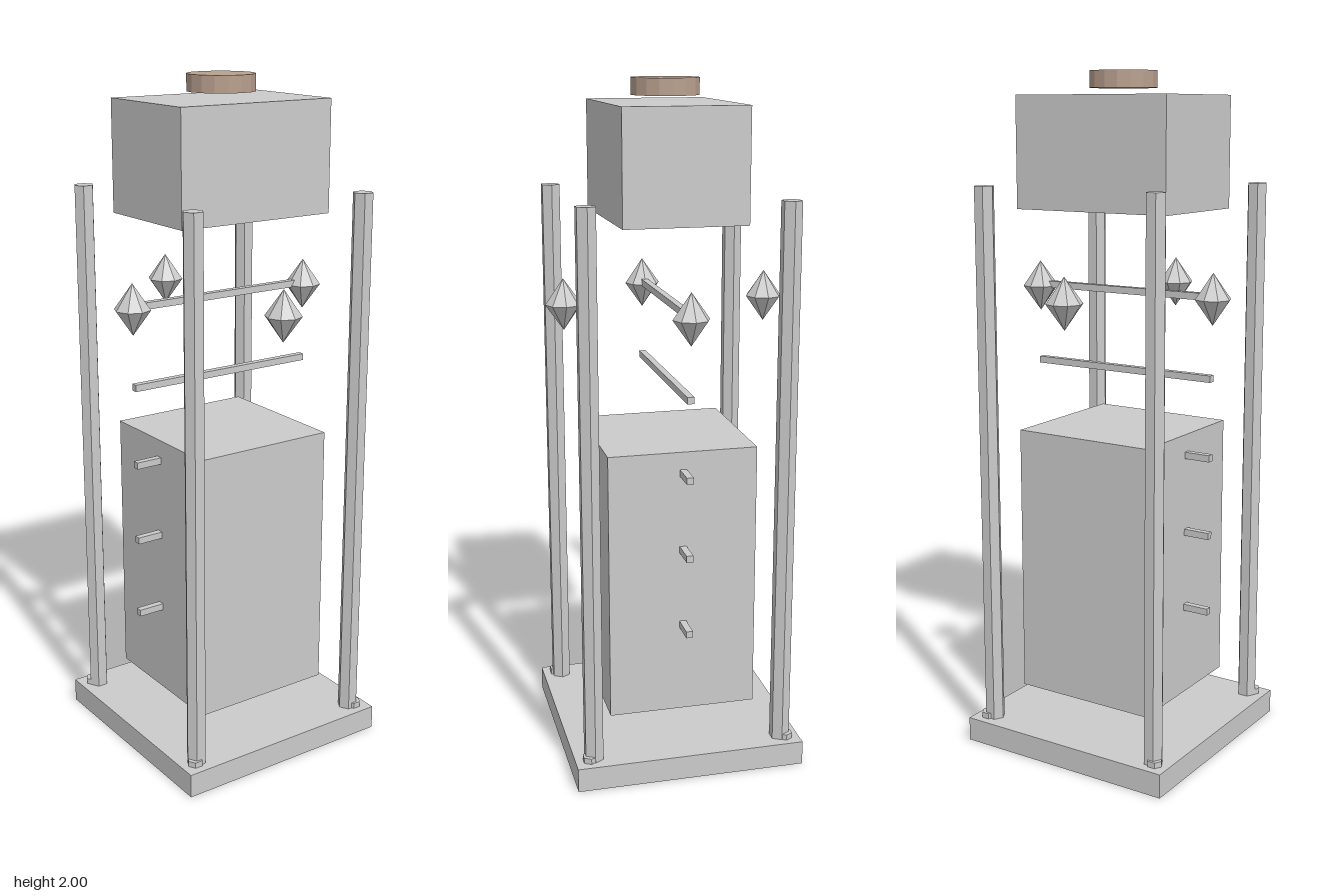
import * as THREE from 'three';

export function createModel() {
  const model = new THREE.Group();
  const grey = new THREE.MeshStandardMaterial({ color: 0xcccccc, flatShading: true });
  const brown = new THREE.MeshStandardMaterial({ color: 0xb8a08e, flatShading: true });

  const add = (name, geometry, x, y, z, material = grey) => {
    const mesh = new THREE.Mesh(geometry, material);
    mesh.name = name;
    mesh.position.set(x, y, z);
    model.add(mesh);
    return mesh;
  };

  // Boxes are given by their bottom and top heights
  const addBlock = (name, width, depth, bottom, top) =>
    add(name, new THREE.BoxGeometry(width, top - bottom, depth), 0, (bottom + top) / 2, 0);

  addBlock('base', 0.683, 0.683, 0, 0.072);
  addBlock('towerBody', 0.44, 0.44, 0.167, 0.97);
  addBlock('upperHousing', 0.5, 0.356, 1.612, 1.933);

  // Round cap above the housing
  add('cap', new THREE.CylinderGeometry(0.098, 0.098, 0.048, 16), 0, 1.976, 0, brown);

  // Hexagonal posts, each with a bolt at its foot
  const post = new THREE.CylinderGeometry(0.03, 0.03, 1.61, 6).rotateY(Math.PI / 2);
  const bolt = new THREE.CylinderGeometry(0.023, 0.023, 0.02, 6).rotateY(Math.PI / 2);
  for (const sx of [-1, 1]) {
    for (const sz of [-1, 1]) {
      add('cornerPost', post, sx * 0.285, 0.877, sz * 0.285);
      add('baseBolt', bolt, sx * 0.298, 0.079, sz * 0.298);
    }
  }

  // Evenly spaced rungs running side to side
  const rung = new THREE.BoxGeometry(0.6, 0.02, 0.02);
  for (let i = 0; i < 5; i++) add('rung', rung, 0, 0.44 + i * 0.234, 0);

  // Eight-sided double-pointed crystals on all four sides
  const crystal = new THREE.LatheGeometry([
    new THREE.Vector2(0, -0.075),
    new THREE.Vector2(0.053, 0),
    new THREE.Vector2(0, 0.075),
  ], 8);
  for (let i = 0; i < 4; i++) {
    const angle = (i * Math.PI) / 2;
    add('crystal', crystal, 0.3 * Math.sin(angle), 1.37, 0.3 * Math.cos(angle));
  }

  return model;
}
